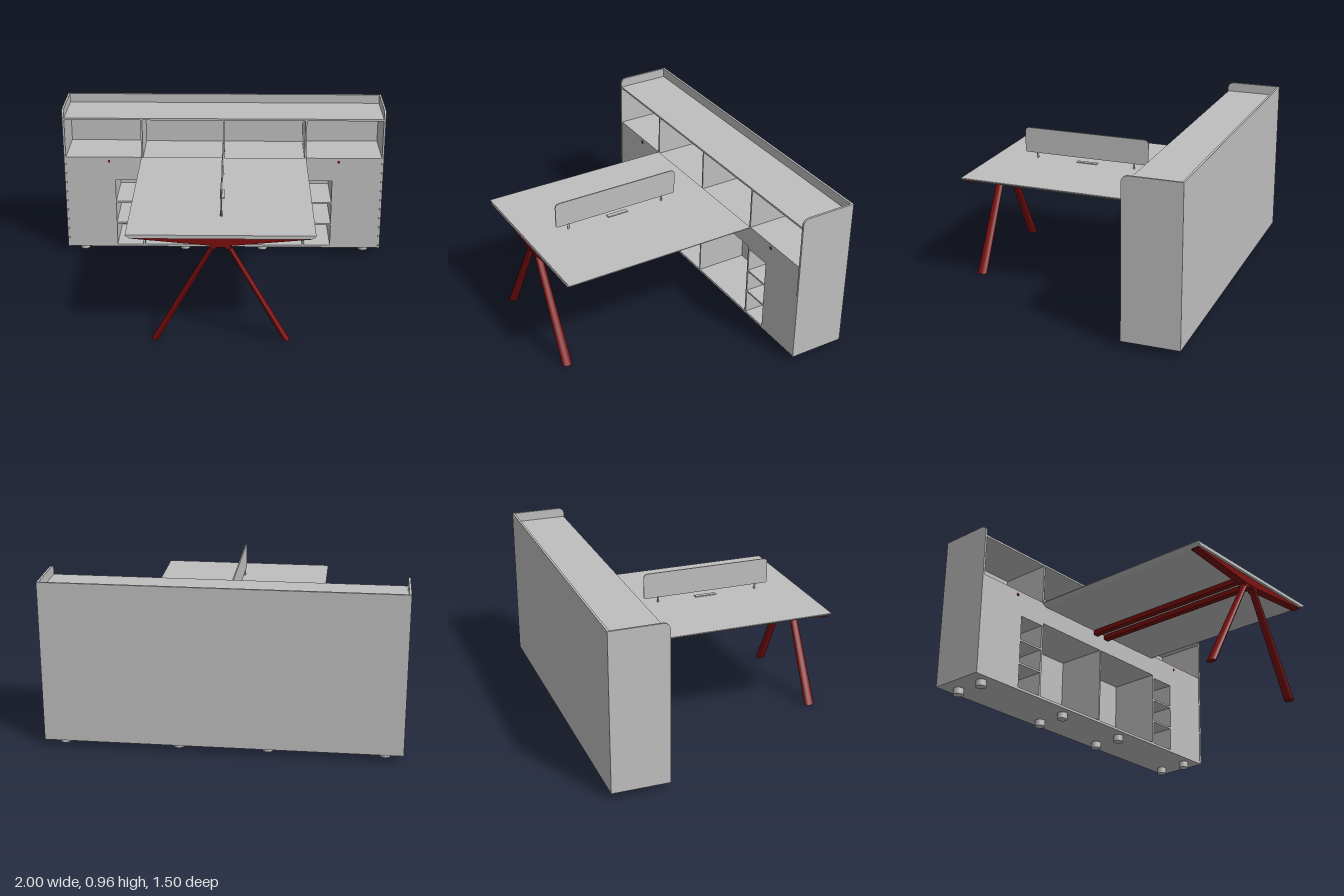
import * as THREE from 'three';

const mat = (name, color, extra = {}) => Object.assign(new THREE.MeshStandardMaterial({ color, ...extra }), { name });

export function createModel() {
  const model = new THREE.Group();
  model.name = 'deskWithCabinet';
  const grey = mat('panelGrey', 0xbfbfbf);
  const red = mat('frameRed', 0x7a0d0d);

  const add = (name, geometry, material, parent = model) => {
    const mesh = new THREE.Mesh(geometry, material);
    mesh.name = name;
    parent.add(mesh);
    return mesh;
  };
  // Box given by its minimum and maximum on each axis
  const box = (name, x0, x1, y0, y1, z0, z1, material = grey, parent = model) => {
    const g = new THREE.BoxGeometry(x1 - x0, y1 - y0, z1 - z0);
    g.translate((x0 + x1) / 2, (y0 + y1) / 2, (z0 + z1) / 2);
    return add(name, g, material, parent);
  };
  // Same box on both sides of x = 0
  const pair = (name, x0, x1, ...rest) => {
    box(name + 'Left', x0, x1, ...rest);
    box(name + 'Right', -x1, -x0, ...rest);
  };

  // ---- Cabinet ----
  const back = -0.75, inner = -0.737, front = -0.42;
  box('cabinetBack', -0.988, 0.988, 0.037, 0.963, back, inner);
  box('cabinetBase', -0.988, 0.988, 0.037, 0.052, inner, front);
  box('cabinetTop', -0.988, 0.988, 0.895, 0.907, inner, front);

  // End panels with a rounded upper front corner
  const side = new THREE.Shape();
  const zf = -0.416, r = 0.037;
  side.moveTo(-back, 0.037);
  side.lineTo(-back, 0.963);
  side.lineTo(-zf + r, 0.963);
  side.absarc(-zf + r, 0.963 - r, r, Math.PI / 2, Math.PI, false);
  side.lineTo(-zf, 0.037);
  const sideGeo = new THREE.ExtrudeGeometry(side, { depth: 0.012, bevelEnabled: false, curveSegments: 10 });
  sideGeo.rotateY(Math.PI / 2);
  for (const [name, x] of [['endPanelLeft', 0.988], ['endPanelRight', -1]]) {
    add(name, sideGeo, grey).position.x = x;
  }

  // Closed bodies around the lower open compartments
  pair('closedDoorBody', 0.682, 0.988, 0.052, 0.65, inner, front);
  pair('bodyAboveShelves', 0.507, 0.682, 0.497, 0.65, inner, front);
  box('bodyAboveCentre', -0.507, 0.507, 0.515, 0.645, inner, front);

  // Upright dividers and small shelves
  pair('lowerDivider', 0.504, 0.516, 0.052, 0.515, inner, front);
  box('lowerCentreDivider', -0.005, 0.005, 0.052, 0.515, inner, front);
  pair('upperDivider', 0.505, 0.516, 0.645, 0.895, inner, front);
  box('upperCentreDivider', -0.005, 0.005, 0.645, 0.895, inner, front);
  for (const y of [0.195, 0.34]) pair('smallShelf', 0.516, 0.682, y, y + 0.011, inner, front);
  pair('doorLock', 0.712, 0.726, 0.616, 0.632, front, front + 0.003, red);

  // Feet
  const footGeo = new THREE.CylinderGeometry(0.03, 0.03, 0.037, 24);
  for (const x of [-0.9, -0.25, 0.25, 0.9]) {
    for (const z of [-0.487, -0.673]) add('cabinetFoot', footGeo, grey).position.set(x, 0.0185, z);
  }

  // Extrudes an x-y outline from z0 to z1
  const prism = (name, points, z0, z1, material) => {
    const shape = new THREE.Shape(points.map(([x, y]) => new THREE.Vector2(x, y)));
    const g = new THREE.ExtrudeGeometry(shape, { depth: z1 - z0, bevelEnabled: false });
    g.translate(0, 0, z0);
    return add(name, g, material);
  };

  // ---- Desk ----
  prism('deskTop', [[-0.515, 0.65], [-0.515, 0.645], [-0.49, 0.629], [0.49, 0.629], [0.515, 0.645], [0.515, 0.65]],
    front, 0.75, grey);
  prism('frontCrossBeam', [[-0.49, 0.629], [-0.49, 0.622], [-0.05, 0.582], [0.05, 0.582], [0.49, 0.622], [0.49, 0.629]],
    0.685, 0.735, red);
  pair('lengthwiseRail', 0.03, 0.065, 0.6, 0.629, front, 0.735, red);
  prism('legHub', [[-0.055, 0.585], [-0.06, 0.565], [-0.035, 0.558], [-0.02, 0.572], [0.02, 0.572], [0.035, 0.558], [0.06, 0.565], [0.055, 0.585]],
    0.688, 0.732, red);

  // Splayed legs: oval tapering columns sheared sideways
  for (const s of [1, -1]) {
    const g = new THREE.CylinderGeometry(0.022, 0.03, 0.585, 16, 1);
    g.scale(0.68, 1, 1);
    g.translate(0, 0.2925, 0);
    const p = g.attributes.position;
    for (let i = 0; i < p.count; i++) p.setX(i, p.getX(i) + s * (0.365 - 0.33 * p.getY(i) / 0.585));
    g.computeVertexNormals();
    add(s > 0 ? 'legLeft' : 'legRight', g, red).position.z = 0.71;
  }

  // ---- Desk divider screen ----
  const z0 = -0.57, z1 = 0.218, y0 = 0.68, y1 = 0.834, c = 0.025;
  const screen = new THREE.Shape();
  screen.absarc(z1 - c, y1 - c, c, 0, Math.PI / 2, false);
  screen.absarc(z0 + c, y1 - c, c, Math.PI / 2, Math.PI, false);
  screen.lineTo(z0, y0 + 0.008);
  screen.lineTo(z0 + 0.008, y0);
  screen.lineTo(z1 - 0.008, y0);
  screen.lineTo(z1, y0 + 0.008);
  const screenGeo = new THREE.ExtrudeGeometry(screen, { depth: 0.007, bevelEnabled: false, curveSegments: 8 });
  screenGeo.rotateY(Math.PI / 2);
  screenGeo.translate(-0.0035, 0, 0);
  add('dividerScreen', screenGeo, grey);
  const postGeo = new THREE.CylinderGeometry(0.006, 0.006, 0.035, 12);
  for (const z of [0.49, -0.128]) add('screenPost', postGeo, grey).position.set(0, 0.6665, z);

  // Cable outlet set into the desk top
  box('cableOutlet', -0.013, 0.013, 0.648, 0.655, 0.105, 0.235);

  return model;
}
